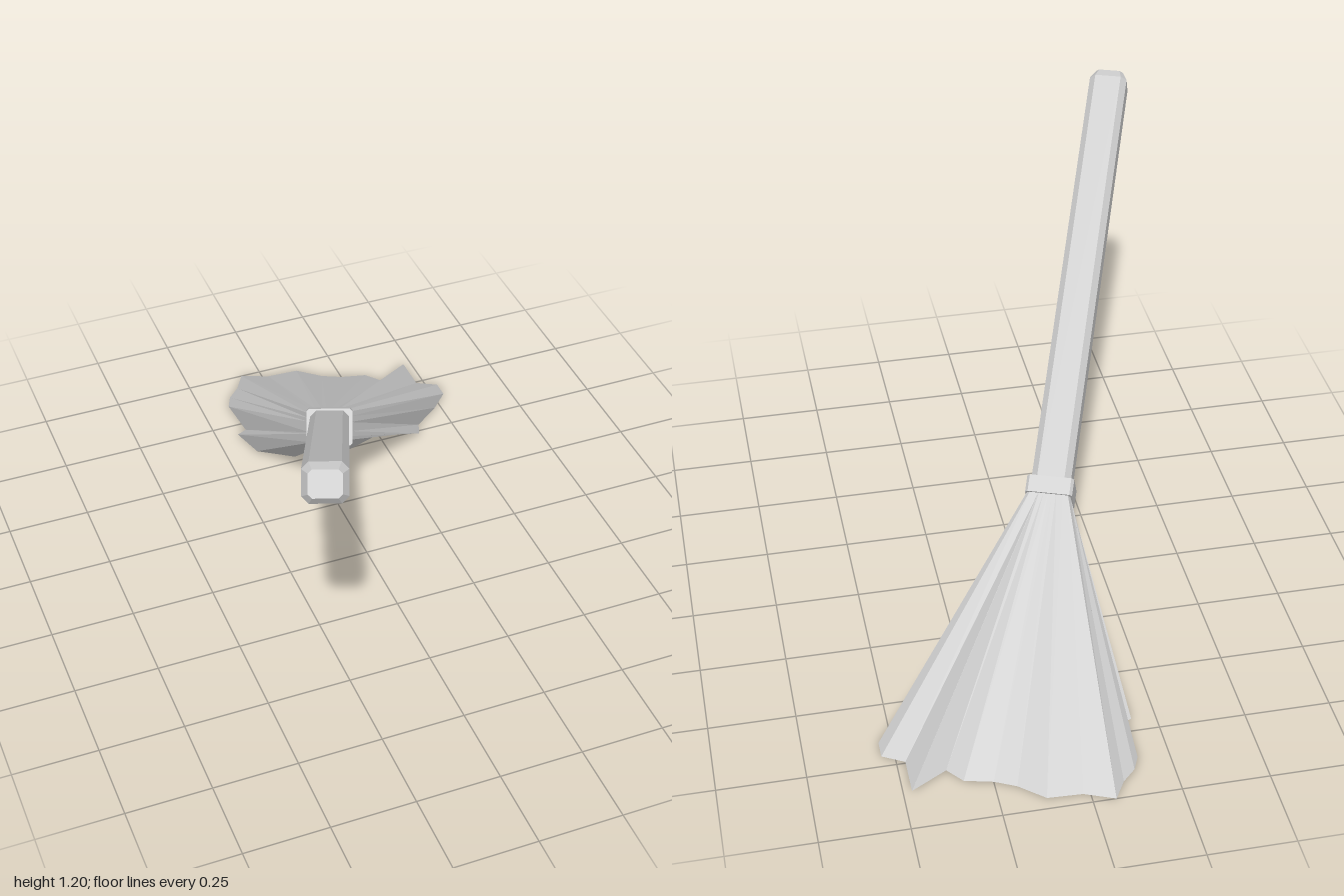
import * as THREE from 'three';

const material = new THREE.MeshStandardMaterial({ color: 0xcccccc, flatShading: true });

// Shaft frame: S sideways, U across the top, D up along the shaft
const tip = new THREE.Vector3(-0.49, 1.17, 0.97);
const collarCentre = new THREE.Vector3(-0.065, 0.41, -0.14);
const D = tip.clone().sub(collarCentre);
const shaftLength = D.length();
D.normalize();
const S = new THREE.Vector3(0, 1, 0).cross(D).normalize();
const U = D.clone().cross(S);

// Point at (s, u) across the shaft and d along it
const place = (s, u, d) => collarCentre.clone()
  .addScaledVector(S, s).addScaledVector(U, u).addScaledVector(D, d);

// Rectangle with chamfered corners, counter-clockwise seen from the tip
function section(w, h, c, d) {
  return [[w, -h + c], [w, h - c], [w - c, h], [-w + c, h],
    [-w, h - c], [-w, -h + c], [-w + c, -h], [w - c, -h]].map(([s, u]) => place(s, u, d));
}

// Skin a stack of rings and close both ends with fans
function loft(name, rings, centres) {
  const pos = [];
  const tri = (...pts) => pts.forEach((p) => pos.push(p.x, p.y, p.z));
  const n = rings[0].length;
  const last = rings[rings.length - 1];
  for (let i = 0; i < n; i++) {
    const j = (i + 1) % n;
    for (let k = 0; k < rings.length - 1; k++) {
      const a = rings[k], b = rings[k + 1];
      tri(a[i], a[j], b[j]);
      tri(a[i], b[j], b[i]);
    }
    tri(centres[0], rings[0][j], rings[0][i]);
    tri(centres[1], last[i], last[j]);
  }
  const geometry = new THREE.BufferGeometry();
  geometry.setAttribute('position', new THREE.Float32BufferAttribute(pos, 3));
  geometry.computeVertexNormals();
  const mesh = new THREE.Mesh(geometry, material);
  mesh.name = name;
  return mesh;
}

// Ragged edge of the bristles on the floor, as x and z
const floorEdge = [
  [-0.18, -0.70], [-0.148, -0.715], [-0.16, -0.855], [-0.14, -0.90], [-0.10, -0.94],
  [-0.065, -1.0], [0.02, -0.965], [0.12, -0.96], [0.19, -0.90], [0.25, -0.87],
  [0.33, -0.85], [0.37, -0.80], [0.475, -0.86], [0.475, -0.745], [0.537, -0.71],
  [0.537, -0.655], [0.48, -0.595], [0.394, -0.53], [0.378, -0.486], [0.319, -0.505],
  [0.24, -0.527], [0.08, -0.475], [0.045, -0.538], [-0.045, -0.522], [-0.15, -0.594],
].reverse();

function makeBristles() {
  const centre = new THREE.Vector3(0.17, 0, -0.67);
  const back = new THREE.Vector3(U.x, 0, U.z).normalize();
  const floor = floorEdge.map(([x, z]) => new THREE.Vector3(x, 0, z));
  // Each floor point is gathered onto the rim of the collar
  const neck = floor.map((p) => {
    const r = p.clone().sub(centre);
    const s = r.dot(S) / 0.37, u = r.dot(back) / 0.22;
    const m = Math.max(Math.abs(s), Math.abs(u));
    return place((0.062 * s) / m, (0.05 * u) / m, -0.02);
  });
  return loft('bristles', [floor, neck], [centre, place(0, 0, -0.02)]);
}

export function createModel() {
  const group = new THREE.Group();
  group.name = 'broom';

  // Square handle with chamfered edges and end
  group.add(loft('handle', [
    section(0.058, 0.051, 0.018, 0),
    section(0.058, 0.051, 0.018, shaftLength - 0.03),
    section(0.042, 0.035, 0.01, shaftLength),
  ], [collarCentre, tip]));

  // Collar binding the bristles
  group.add(loft('collar', [
    section(0.069, 0.056, 0.008, -0.026),
    section(0.069, 0.056, 0.008, 0.026),
  ], [place(0, 0, -0.026), place(0, 0, 0.026)]));

  // Flared, pleated bristles
  group.add(makeBristles());
  return group;
}
